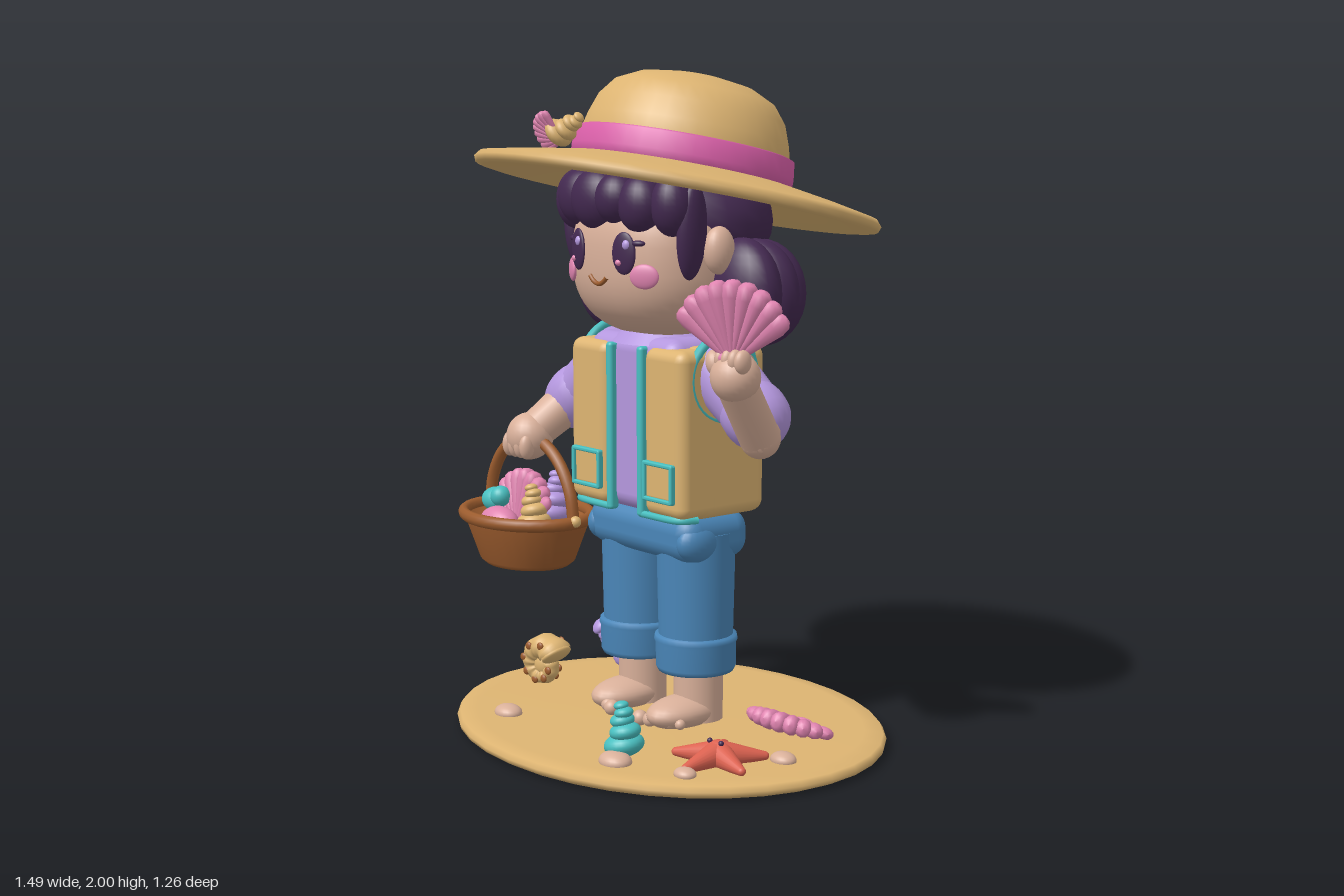
import * as THREE from 'three';
import { RoundedBoxGeometry } from 'three/addons/geometries/RoundedBoxGeometry.js';
import { ParametricGeometry } from 'three/addons/geometries/ParametricGeometry.js';

const paint = (name, color) => new THREE.MeshStandardMaterial({ name, color });
const M = {
  tan: paint('straw', 0xddb472), skin: paint('skin', 0xd9b09a), hair: paint('hair', 0x432950),
  lilac: paint('lilac', 0xb497de), denim: paint('denim', 0x4a86b8), teal: paint('teal', 0x49bfc0),
  band: paint('hotPink', 0xd95fa8), pink: paint('shellPink', 0xe084b0),
  brown: paint('wicker', 0x9c5c2e), coral: paint('coral', 0xdc6250),
};
const V = (x, y, z) => new THREE.Vector3(x, y, z);
const UP = V(0, 1, 0);

function add(parent, name, geo, mat, p = [0, 0, 0], r = [0, 0, 0], s = [1, 1, 1]) {
  const m = new THREE.Mesh(geo, mat);
  m.name = name;
  m.position.set(...p); m.rotation.set(...r); m.scale.set(...s);
  parent.add(m);
  return m;
}
function sub(parent, name, p = [0, 0, 0], r = [0, 0, 0], s = 1) {
  const g = new THREE.Group();
  g.name = name;
  g.position.set(...p); g.rotation.set(...r); g.scale.setScalar(s);
  parent.add(g);
  return g;
}
const sphere = new THREE.SphereGeometry(1, 24, 16);
const ball = (g, name, mat, p, s, r) => add(g, name, sphere, mat, p, r, typeof s === 'number' ? [s, s, s] : s);
const box = (g, name, mat, p, [w, h, d], rad = 0.03) => add(g, name, new RoundedBoxGeometry(w, h, d, 3, rad), mat, p);
const lathe = (pts, n = 32) => new THREE.LatheGeometry(pts.map(([x, y]) => new THREE.Vector2(x, y)), n);
const tube = (g, name, mat, pts, r, closed = false) =>
  add(g, name, new THREE.TubeGeometry(new THREE.CatmullRomCurve3(pts, closed), 40, r, 8, closed), mat);

// Tapered capsule between two points
function limb(g, name, mat, a, b, r1, r2) {
  const d = b.clone().sub(a), L = d.length(), pts = [];
  for (let i = 0; i <= 6; i++) { const t = i * Math.PI / 12; pts.push([r1 * Math.sin(t), -r1 * Math.cos(t)]); }
  for (let i = 0; i <= 6; i++) { const t = i * Math.PI / 12; pts.push([r2 * Math.cos(t), L + r2 * Math.sin(t)]); }
  const m = add(g, name, lathe(pts, 20), mat, a.toArray());
  m.quaternion.setFromUnitVectors(UP, d.normalize());
}

// Ribbed fan shell, hinge at the origin, one unit tall
function scallop(parent, name, mat, p, r, s) {
  const g = sub(parent, name, p, r, s);
  const rib = lathe([[0.03, 0], [0.08, 0.4], [0.13, 0.8], [0.115, 0.93], [0.07, 0.98], [0, 1]], 12);
  for (let i = -4; i <= 4; i++)
    add(g, 'rib', rib, mat, [0, 0, 0], [0, 0, -i * 0.215], [1, 1 - 0.006 * i * i, 1.2 - 0.03 * i * i]);
  ball(g, 'hinge', mat, [0, 0.04, 0], [0.2, 0.09, 0.1]);
}
// Pointed shell of stacked whorls, one unit tall
function turret(parent, name, mat, p, r, s) {
  const g = sub(parent, name, p, r, s);
  let y = 0.2;
  for (let i = 0; i < 5; i++) {
    const w = 0.36 * 0.78 ** i;
    ball(g, 'whorl', mat, [0.03 * (i % 2 ? 1 : -1), y, 0], [w, w * 0.6, w], [0, 0, 0.15]);
    y += w * 0.68;
  }
}

// Height of the face surface and flat details laid on it
const HEAD = [0.275, 0.24, 0.262], HY = 1.455;
function faceZ(x, y) {
  const k = 1 - Math.abs(x / HEAD[0]) ** 2.5 - Math.abs((y - HY) / HEAD[1]) ** 2.5;
  return HEAD[2] * Math.max(k, 0) ** 0.4;
}
function decal(g, name, mat, x, y, rx, ry, lift = 0) {
  const slope = (faceZ(x + 0.02, y) - faceZ(x - 0.02, y)) / 0.04;
  ball(g, name, mat, [x, y, faceZ(x, y) + lift], [rx, ry, 0.012], [0, -Math.atan(slope), 0]);
}

function buildLegs(g) {
  box(g, 'hips', M.denim, [0, 0.63, 0], [0.5, 0.15, 0.26], 0.06);
  for (const s of [-1, 1]) {
    const x = s * 0.135;
    add(g, 'trouserLeg', new THREE.CylinderGeometry(0.12, 0.112, 0.36, 28), M.denim, [x, 0.46, 0]);
    add(g, 'trouserCuff', lathe([[0.07, 0.21], [0.115, 0.21], [0.122, 0.225], [0.122, 0.295], [0.127, 0.305], [0.124, 0.32], [0.1, 0.325]]), M.denim, [x, 0, 0]);
    ball(g, 'hipPocket', M.denim, [s * 0.215, 0.62, 0.06], [0.045, 0.06, 0.075]);
    add(g, 'ankle', new THREE.CylinderGeometry(0.075, 0.075, 0.17, 20), M.skin, [x, 0.14, -0.01]);
    ball(g, 'foot', M.skin, [x, 0.085, 0.05], [0.08, 0.05, 0.13]);
    for (let i = 0; i < 5; i++)
      ball(g, 'toe', M.skin, [x + s * (i - 2) * 0.033, 0.07, 0.165 - 0.012 * i], 0.024 - 0.002 * i);
  }
}

function buildTorso(g) {
  box(g, 'shirt', M.lilac, [0, 0.96, 0.02], [0.42, 0.53, 0.26], 0.05);
  add(g, 'collar', new THREE.CylinderGeometry(0.1, 0.17, 0.07, 28), M.lilac, [0, 1.235, 0]);
  box(g, 'vestBack', M.tan, [0, 0.95, -0.03], [0.54, 0.51, 0.27], 0.04);
  for (const s of [-1, 1]) {
    box(g, 'vestFront', M.tan, [s * 0.178, 0.95, 0.09], [0.185, 0.5, 0.16], 0.035);
    box(g, 'frontTrim', M.teal, [s * 0.073, 0.945, 0.155], [0.027, 0.51, 0.035], 0.011);
    tube(g, 'hemTrim', M.teal, [V(s * 0.07, 0.698, 0.16), V(s * 0.24, 0.7, 0.15), V(s * 0.262, 0.7, 0.1)], 0.011);
    add(g, 'armholeTrim', new THREE.TorusGeometry(0.125, 0.014, 8, 32), M.teal, [s * 0.258, 1.11, 0], [0, Math.PI / 2, 0]);
    box(g, 'pocket', M.tan, [s * 0.172, 0.81, 0.165], [0.12, 0.11, 0.025], 0.01);
    for (const k of [-1, 1]) {
      box(g, 'pocketTrim', M.teal, [s * 0.172, 0.808 + k * 0.053, 0.176], [0.135, 0.013, 0.02], 0.005);
      box(g, 'pocketTrim', M.teal, [s * 0.172 + k * 0.062, 0.808, 0.176], [0.013, 0.115, 0.02], 0.005);
    }
  }
}

function buildHead(g) {
  const geo = new THREE.SphereGeometry(1, 40, 28), p = geo.attributes.position;
  const soft = c => Math.sign(c) * Math.abs(c) ** 0.8;
  for (let i = 0; i < p.count; i++)
    p.setXYZ(i, soft(p.getX(i)) * HEAD[0], soft(p.getY(i)) * HEAD[1], soft(p.getZ(i)) * HEAD[2]);
  geo.computeVertexNormals();
  add(g, 'head', geo, M.skin, [0, HY, 0]);
  for (const s of [-1, 1]) {
    ball(g, 'ear', M.skin, [s * 0.295, 1.49, 0.05], [0.04, 0.07, 0.05]);
    decal(g, 'eye', M.hair, s * 0.108, 1.48, 0.042, 0.062);
    decal(g, 'eyeShine', M.lilac, s * 0.108 + 0.013, 1.505, 0.014, 0.016, 0.006);
    decal(g, 'eyeGlow', M.pink, s * 0.108 - 0.012, 1.453, 0.012, 0.01, 0.005);
    decal(g, 'lash', M.hair, s * 0.152, 1.51, 0.022, 0.009);
    decal(g, 'cheek', M.pink, s * 0.17, 1.415, 0.045, 0.036);
  }
  const smile = [-2, -1, 0, 1, 2].map(i => V(i * 0.02, 1.385 + i * i * 0.0055, faceZ(i * 0.02, 1.39) + 0.003));
  tube(g, 'mouth', M.brown, smile, 0.007);

  // Hair: cap, fringe, side locks and a lobed roll round the back
  ball(g, 'hairCap', M.hair, [0, 1.56, -0.06], [0.295, 0.2, 0.25]);
  for (const [x, y, rx, ry, z] of [[-0.235, 1.62, 0.06, 0.09, 0.16], [-0.155, 1.63, 0.085, 0.085, 0.2], [-0.045, 1.63, 0.095, 0.09, 0.23],
    [0.045, 1.635, 0.07, 0.075, 0.225], [0.13, 1.62, 0.075, 0.085, 0.205], [0.225, 1.62, 0.065, 0.09, 0.165]])
    ball(g, 'fringe', M.hair, [x, y, z], [rx, ry, 0.065]);
  for (const s of [-1, 1])
    ball(g, 'sideLock', M.hair, [s * 0.268, 1.545, 0.13], [0.032, 0.14, 0.05], [0, 0, s * -0.08]);
  for (let i = 0; i <= 10; i++) {
    const t = Math.PI * i / 10, c = Math.cos(t), n = Math.sin(t);
    ball(g, 'hairCurl', M.hair, [0.31 * c, 1.365 - 0.02 * n, -0.03 - 0.2 * n], [0.14, 0.16, 0.085], [0, t, 0]);
  }
}

function buildHat(root) {
  const hat = sub(root, 'hat', [-0.018, 1.642, -0.04], [-0.21, 0, -0.025]);
  hat.scale.z = 0.96;
  add(hat, 'brim', lathe([[0.3, 0.035], [0.45, 0.01], [0.6, -0.022], [0.625, -0.018], [0.632, 0], [0.62, 0.015], [0.5, 0.04], [0.32, 0.072]], 40), M.tan);
  add(hat, 'crown', lathe([[0.325, 0.05], [0.325, 0.14], [0.312, 0.19], [0.29, 0.25], [0.25, 0.3], [0.18, 0.334], [0.09, 0.35], [0, 0.354]], 40), M.tan);
  add(hat, 'hatBand', lathe([[0.32, 0.05], [0.343, 0.058], [0.345, 0.09], [0.338, 0.145], [0.318, 0.152]], 40), M.band);
  turret(root, 'hatSpiralShell', M.tan, [-0.18, 1.805, 0.3], [-0.35, 0, -1.0], 0.13);
  scallop(root, 'hatScallop', M.pink, [-0.14, 1.8, 0.3], [0.5, 0, 1.1], 0.11);
}

function buildArms(root) {
  // Right arm hangs to the basket
  limb(root, 'sleeve', M.lilac, V(-0.27, 1.12, 0), V(-0.42, 0.99, 0.03), 0.1, 0.088);
  limb(root, 'sleeveCuff', M.lilac, V(-0.415, 0.995, 0.03), V(-0.43, 0.98, 0.035), 0.098, 0.098);
  limb(root, 'forearm', M.skin, V(-0.42, 0.99, 0.04), V(-0.48, 0.88, 0.16), 0.07, 0.06);
  ball(root, 'hand', M.skin, [-0.485, 0.865, 0.175], 0.075);
  for (let i = 0; i < 4; i++) ball(root, 'finger', M.skin, [-0.53 + i * 0.03, 0.84, 0.22], [0.02, 0.04, 0.026]);
  // Left arm raised with a shell
  limb(root, 'sleeve', M.lilac, V(0.24, 1.12, 0), V(0.385, 1.02, 0), 0.1, 0.092);
  limb(root, 'sleeveCuff', M.lilac, V(0.375, 1.025, 0), V(0.39, 1.015, 0), 0.1, 0.1);
  limb(root, 'elbow', M.skin, V(0.39, 1.02, 0), V(0.455, 0.965, 0.045), 0.065, 0.06);
  limb(root, 'forearm', M.skin, V(0.455, 0.965, 0.045), V(0.485, 1.13, 0.16), 0.06, 0.058);
  ball(root, 'hand', M.skin, [0.49, 1.155, 0.17], 0.072);
  ball(root, 'thumb', M.skin, [0.43, 1.19, 0.19], [0.028, 0.04, 0.03], [0, 0, 0.4]);
  for (let i = 0; i < 4; i++) ball(root, 'finger', M.skin, [0.465 + i * 0.028, 1.205, 0.195], [0.019, 0.034, 0.028]);
  scallop(root, 'heldScallop', M.pink, [0.5, 1.2, 0.19], [0.1, 0.45, -0.08], 0.235);
}

function buildBasket(root) {
  const b = sub(root, 'basket', [-0.49, 0, 0.185]);
  add(b, 'bowl', lathe([[0, 0.46], [0.15, 0.46], [0.17, 0.475], [0.225, 0.61], [0.205, 0.61], [0.15, 0.55], [0, 0.55]]), M.brown, [0, 0, 0], [0, 0, 0], [1, 1, 0.82]);
  add(b, 'rim', new THREE.TorusGeometry(0.228, 0.02, 10, 36), M.brown, [0, 0.618, 0], [Math.PI / 2, 0, 0], [1, 0.82, 1]);
  const arc = [];
  for (let i = 0; i <= 8; i++) arc.push(V(-0.225 * Math.cos(i * Math.PI / 8), 0.61 + 0.25 * Math.sin(i * Math.PI / 8), -0.015));
  tube(b, 'handle', M.brown, arc, 0.019);
  for (const s of [-1, 1]) ball(b, 'handlePeg', M.tan, [s * 0.24, 0.625, -0.01], 0.018);
  scallop(b, 'basketScallop', M.pink, [0.01, 0.57, 0.05], [-0.25, 0, 0], 0.2);
  ball(b, 'basketPebble', M.pink, [-0.01, 0.6, 0.1], [0.08, 0.05, 0.05]);
  ball(b, 'basketTealShell', M.teal, [-0.11, 0.65, 0.04], [0.055, 0.04, 0.045]);
  ball(b, 'basketTealShell', M.teal, [-0.06, 0.67, 0.06], 0.033);
  turret(b, 'basketTanSpiral', M.tan, [0.11, 0.58, 0.05], [0, 0, 0.1], 0.155);
  turret(b, 'basketLilacSpiral', M.lilac, [0.01, 0.57, -0.08], [-0.2, 0, 0], 0.18);
}

function buildBeach(root) {
  add(root, 'sandBase', lathe([[0, 0], [0.96, 0], [0.995, 0.012], [1, 0.025], [0.985, 0.04], [0.9, 0.046], [0, 0.05]], 36), M.tan, [0.013, 0, 0.022], [0, 0, 0], [0.732, 1, 0.602]);
  // Coiled ribbed shell with spots
  const coil = sub(root, 'coiledShell', [-0.41, 0.14, 0.18], [0, 0.15, 0.7]);
  add(coil, 'coil', new ParametricGeometry((u, v, out) => {
    const t = u * 11, a = v * Math.PI * 2, k = Math.exp(-0.14 * t);
    const r = 0.046 * k * (1 + 0.05 * Math.sin(t * 9)), R = 0.065 * k + r * Math.cos(a);
    out.set(R * Math.cos(t), R * Math.sin(t), r * 1.25 * Math.sin(a));
  }, 120, 14), [M.tan][0]);
  ball(coil, 'coilMouth', M.tan, [0.065, -0.003, 0], [0.044, 0.018, 0.055]);
  ball(coil, 'coilCore', M.tan, [0, 0, 0], [0.04, 0.04, 0.03]);
  for (let i = 0; i < 7; i++) for (const s of [-1, 1]) {
    const t = 0.5 + i * 0.8, k = Math.exp(-0.14 * t);
    ball(coil, 'coilSpot', M.brown, [0.082 * k * Math.cos(t), 0.082 * k * Math.sin(t), s * 0.051 * k], [0.013, 0.013, 0.007]);
  }
  turret(root, 'lilacSpiral', M.lilac, [-0.5, 0.08, -0.28], [0.95, 0, 0.1], 0.21);
  turret(root, 'tealSpiral', M.teal, [0.265, 0.05, 0.385], [0.05, 0, 0.05], 0.165);
  scallop(root, 'sandScallop', M.pink, [0.43, 0.075, -0.16], [1.25, 0, -0.35], 0.2);
  // Starfish with raised arms and a tiny face
  const star = sub(root, 'starfish', [0.475, 0.06, 0.215], [0, 0.1, 0]);
  for (let i = 0; i < 5; i++) {
    const a = i * Math.PI * 2 / 5 + Math.PI / 2;
    limb(star, 'starArm', M.coral, V(0, 0.012, 0), V(0.135 * Math.cos(a), 0, 0.135 * Math.sin(a)), 0.042, 0.013);
  }
  for (const s of [-1, 1]) ball(star, 'starEye', M.hair, [s * 0.022, 0.05, 0.012], 0.008);
  for (const [x, z, r] of [[0.285, 0.44, 0.045], [-0.3, 0.4, 0.04], [0.58, 0.06, 0.035], [-0.58, 0.06, 0.035], [-0.33, -0.36, 0.035], [0.5, 0.36, 0.03]])
    ball(root, 'pebble', M.skin, [x, 0.05, z], [r * 1.2, r * 0.65, r]);
}

export function createModel() {
  const root = new THREE.Group();
  root.name = 'beachGirl';
  const body = sub(root, 'body', [-0.015, 0, 0]);
  buildLegs(body);
  buildTorso(body);
  buildHead(body);
  buildHat(root);
  buildArms(root);
  buildBasket(root);
  buildBeach(root);
  return root;
}
